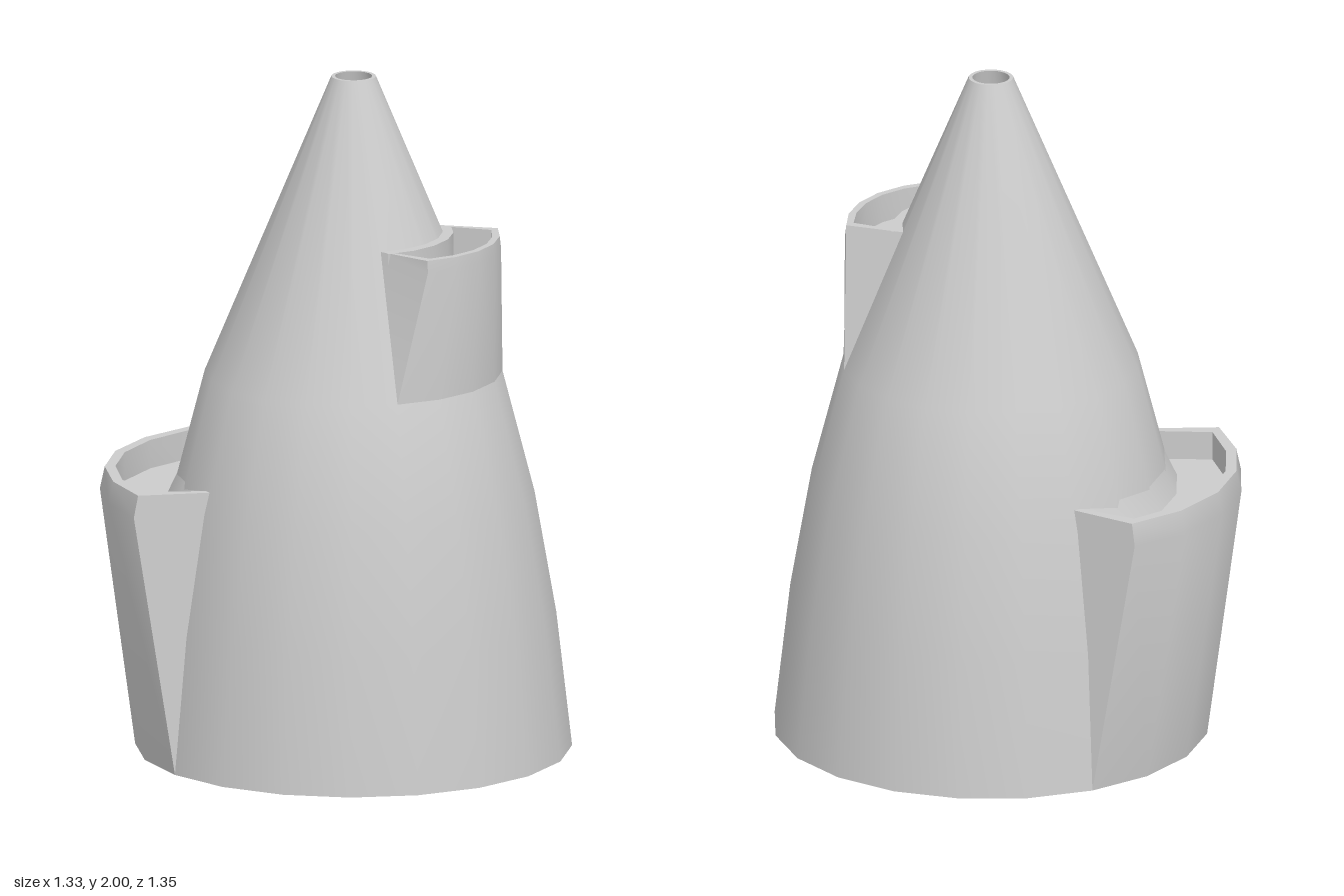
import * as THREE from 'three';
import { toCreasedNormals } from 'three/addons/utils/BufferGeometryUtils.js';

const material = new THREE.MeshStandardMaterial({ color: 0xcccccc });
const rad = THREE.MathUtils.degToRad;
const lerp = THREE.MathUtils.lerp;
const SIDES = 20;

function addMesh(parent, geometry, name) {
  const mesh = new THREE.Mesh(geometry, material);
  mesh.name = name;
  parent.add(mesh);
}

// Tapering shell with a straight conical bore; separate strips keep the edges sharp
function addShell(parent) {
  const outer = [[0.634, 0], [0.588, 0.4], [0.525, 0.76], [0.432, 1.12], [0.065, 2]];
  const bore = [[0.054, 2], [0.52, 0]];
  const strips = {
    outerWall: outer,
    topRim: [outer[4], bore[0]],
    bore,
    baseRing: [bore[1], outer[0]],
  };
  for (const [name, profile] of Object.entries(strips)) {
    const points = profile.map(([r, y]) => new THREE.Vector2(r, y));
    addMesh(parent, new THREE.LatheGeometry(points, SIDES), name);
  }
}

// Curved pocket that grows out of the shell: foot angles follow the shell,
// rim angles are drawn in towards the middle, angles run from +x towards +z
function makePocket(p) {
  const steps = 5;
  const positions = [];
  const face = (points, flip) => {
    const q = flip ? [...points].reverse() : points;
    for (let i = 1; i < q.length - 1; i++) positions.push(...q[0], ...q[i], ...q[i + 1]);
  };
  const point = (r, y, degrees) => [r * Math.cos(rad(degrees)), y, r * Math.sin(rad(degrees))];
  const along = ([a, b], inset, t) => lerp(a + inset, b - inset, t);

  // Cross-section at t: foot, bevel, rim, inside wall, floor and inner lip
  const section = (t) => {
    const r = lerp(along(p.endRadius, 0, t), p.midRadius, Math.sin(Math.PI * t));
    const foot = along(p.foot, 0, t), rim = along(p.rim, 0, t);
    const inside = along(p.rim, p.inset, t), back = along(p.foot, p.inset, t);
    return [
      point(p.footRadius, p.bottom, foot),
      point(r, p.bevel, rim),
      point(r - p.bevelInset, p.top, rim),
      point(r - p.wall, p.top, inside),
      point(r - p.wall, p.floor, inside),
      point(p.lipRadius, p.floor, back),
      point(p.lipTopRadius, p.top, back),
      point(p.backRadius, p.top, back),
    ];
  };

  const sections = Array.from({ length: steps + 1 }, (_, j) => section(j / steps));
  for (let j = 0; j < steps; j++) {
    const a = sections[j], b = sections[j + 1];
    for (let k = 0; k < a.length - 1; k++) face([a[k], a[k + 1], b[k + 1], b[k]]);
  }

  // End walls with thickness, running back into the shell
  for (const t of [0, 1]) {
    const s = sections[t * steps];
    const back = along(p.foot, 0, t), backIn = along(p.foot, p.inset, t);
    const q2 = point(p.backRadius, p.top, back);
    const q3 = point(p.backRadius, p.top, backIn);
    const q4 = point(p.backRadius, p.floor, backIn);
    face([s[0], q2, s[2], s[1]], t === 1);
    face([s[2], q2, q3, s[3]], t === 1);
    face([s[3], q3, q4, s[4]], t === 1);
  }

  const geometry = new THREE.BufferGeometry();
  geometry.setAttribute('position', new THREE.Float32BufferAttribute(positions, 3));
  return toCreasedNormals(geometry, 0.5);
}

export function createModel() {
  const model = new THREE.Group();
  model.name = 'taperedTowerWithPockets';

  const shell = new THREE.Group();
  shell.name = 'shell';
  addShell(shell);
  model.add(shell);

  addMesh(model, makePocket({
    foot: [90, 180], rim: [97.8, 171.4], inset: 2.7,
    bottom: 0, bevel: 0.76, top: 0.825, floor: 0.74,
    footRadius: 0.634, endRadius: [0.718, 0.705], midRadius: 0.738,
    bevelInset: 0.014, wall: 0.045,
    lipRadius: 0.545, lipTopRadius: 0.505, backRadius: 0.495,
  }), 'lowerPocket');

  addMesh(model, makePocket({
    foot: [-72, 18], rim: [-60, 4], inset: 3,
    bottom: 1.12, bevel: 1.5, top: 1.535, floor: 1.45,
    footRadius: 0.432, endRadius: [0.424, 0.417], midRadius: 0.438,
    bevelInset: 0.004, wall: 0.024,
    lipRadius: 0.29, lipTopRadius: 0.29, backRadius: 0.255,
  }), 'upperPocket');

  // The shell axis sits slightly off the centre of the whole
  for (const part of model.children) part.position.set(0.032, 0, -0.038);
  return model;
}
